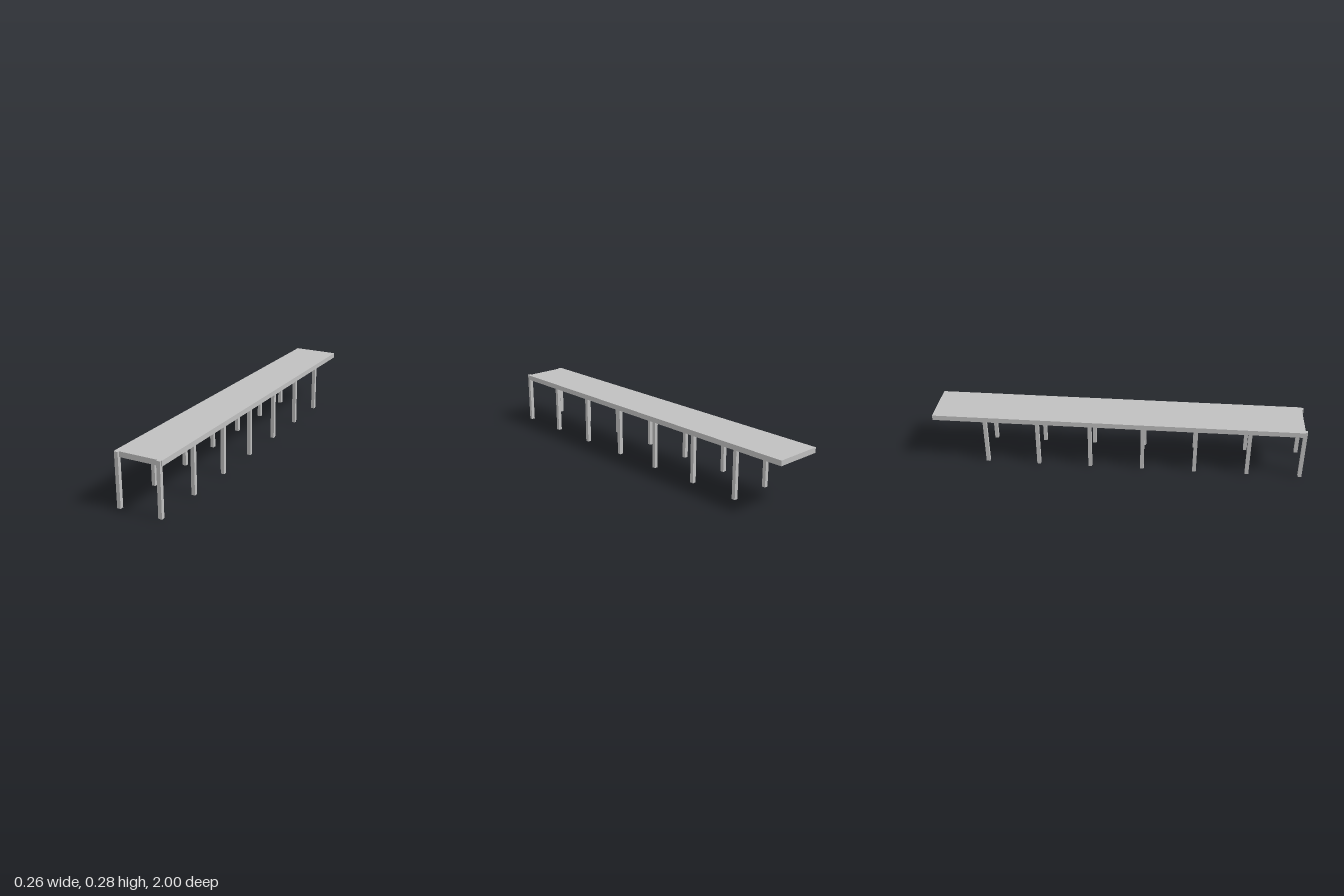
import * as THREE from 'three';

export function createModel() {
  const model = new THREE.Group();
  model.name = 'pier';
  const grey = new THREE.MeshStandardMaterial({ color: 0xc0c0c0 });
  grey.name = 'plain grey';

  const addBox = (name, w, h, d, x, y, z) => {
    const mesh = new THREE.Mesh(new THREE.BoxGeometry(w, h, d), grey);
    mesh.name = name;
    mesh.position.set(x, y, z);
    model.add(mesh);
  };

  // Long flat deck, its front edge set back to the middle of the first posts
  const top = 0.285, thickness = 0.028, frontZ = 0.99;
  addBox('deck', 0.256, thickness, frontZ + 1, 0, top - thickness / 2, (frontZ - 1) / 2);

  // Seven pairs of square posts; the back end of the deck overhangs
  const post = 0.02, spacing = 0.2845;
  for (let i = 0; i < 7; i++) {
    for (const side of [-1, 1]) {
      addBox(side > 0 ? 'leftPost' : 'rightPost', post, top, post,
        side * 0.114, top / 2, frontZ - i * spacing);
    }
  }
  return model;
}
